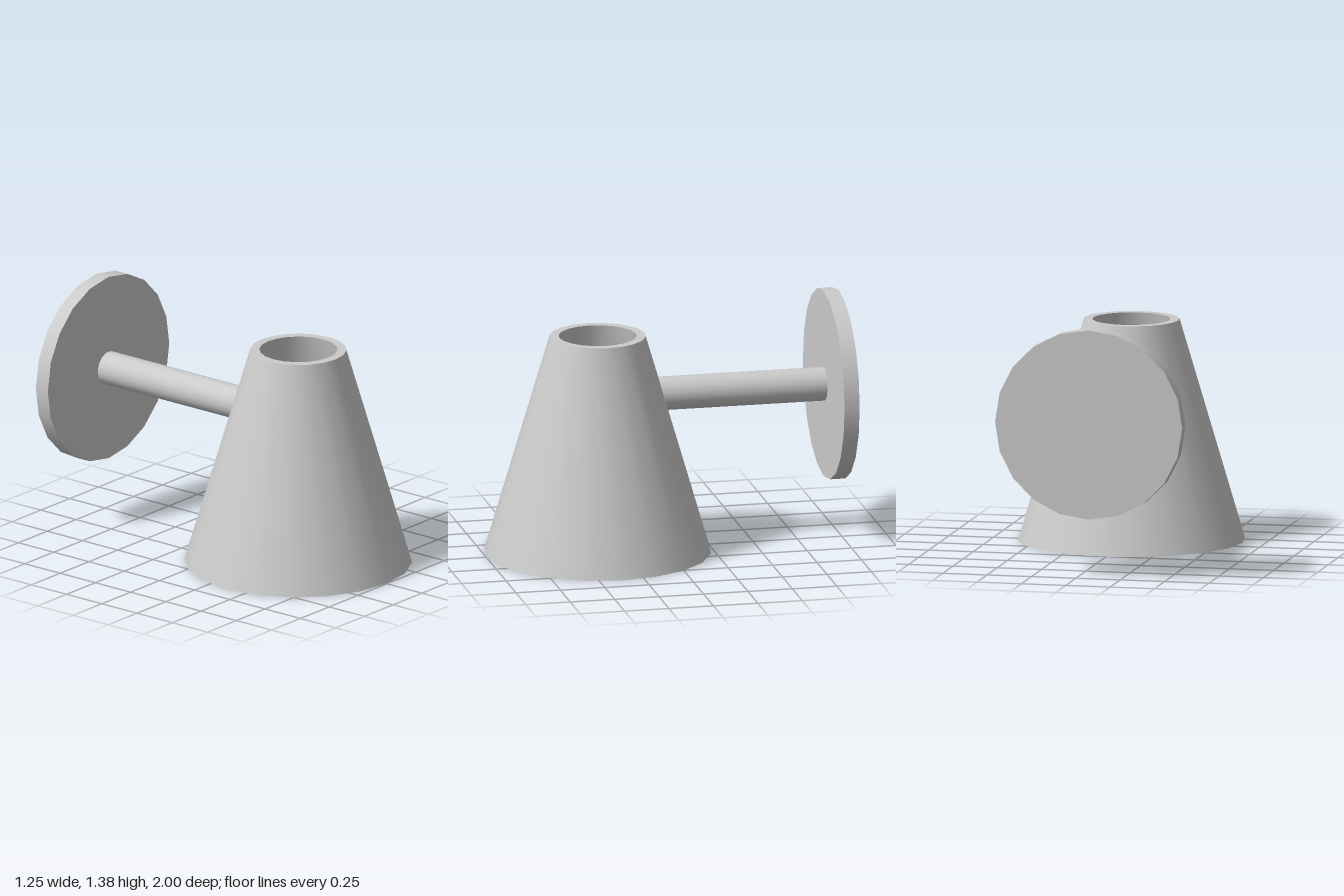
import * as THREE from 'three';
import { toCreasedNormals } from 'three/addons/utils/BufferGeometryUtils.js';

const SIDES = 20;
const material = new THREE.MeshStandardMaterial({ color: 0xcccccc });

// Cylinder lying along z between two depths
function discAlongZ(name, radius, zBack, zFront) {
  const geometry = new THREE.CylinderGeometry(radius, radius, zFront - zBack, SIDES);
  geometry.rotateX(Math.PI / 2);
  const mesh = new THREE.Mesh(geometry, material);
  mesh.name = name;
  mesh.position.set(-0.072, 0.855, (zBack + zFront) / 2);
  return mesh;
}

export function createModel() {
  const group = new THREE.Group();
  group.name = 'wallLamp';

  // Hollow tapered shade, open at both ends
  const profile = [
    [0.626, 0], [0.265, 1.225], [0.215, 1.225], [0.513, 0], [0.626, 0],
  ].map(([r, y]) => new THREE.Vector2(r, y));
  const shade = new THREE.Mesh(
    toCreasedNormals(new THREE.LatheGeometry(profile, SIDES), 0.6),
    material
  );
  shade.name = 'shade';
  shade.position.z = 0.373;
  group.add(shade);

  // Arm ends within the shade wall; the round plate closes the back
  group.add(discAlongZ('arm', 0.093, -0.95, 0.05));
  group.add(discAlongZ('wallPlate', 0.527, -1, -0.915));

  return group;
}
